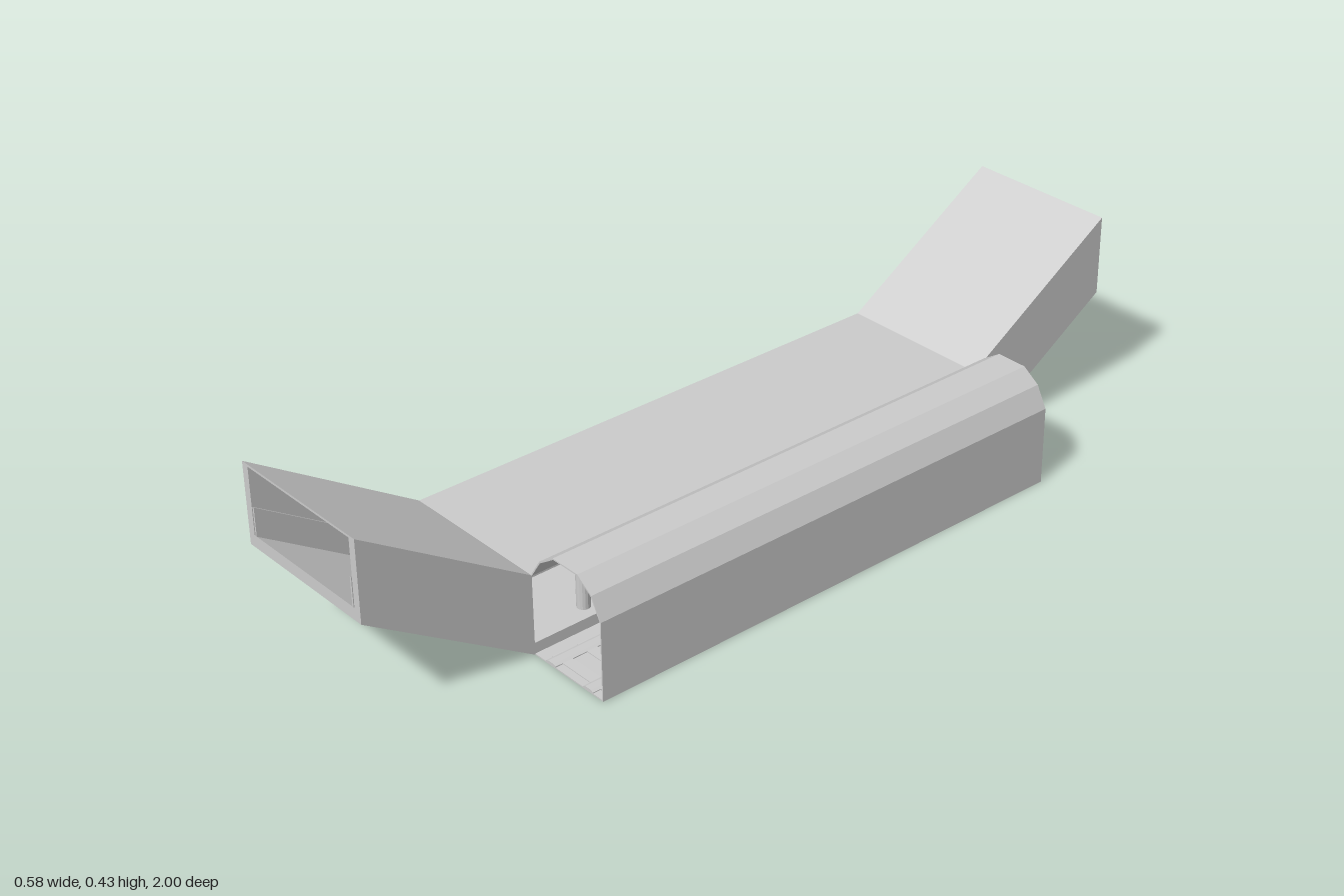
import * as THREE from 'three';

const HALF = 0.61, END = 1, RISE = 0.247;   // hall half length, ramp end, ramp climb
const X0 = -0.29, X1 = 0.078, WALL = 0.018; // hall width and wall thickness
const FLOOR = 0.028, CEIL = 0.18, ROOF = 0.185;

export function createModel() {
  const group = new THREE.Group();
  const material = new THREE.MeshStandardMaterial({ color: 0xcccccc, flatShading: true, side: THREE.DoubleSide });

  const add = (name, geometry) => {
    const mesh = new THREE.Mesh(geometry, material);
    mesh.name = name;
    group.add(mesh);
    return mesh;
  };
  const shapeOf = (pts) => new THREE.Shape(pts.map(([a, b]) => new THREE.Vector2(a, b)));

  // Side outline in (z, y), extruded across x
  const acrossX = (name, pts, xMin, xMax) => {
    const g = new THREE.ExtrudeGeometry(shapeOf(pts), { depth: xMax - xMin, bevelEnabled: false });
    g.rotateY(-Math.PI / 2).translate(xMax, 0, 0);
    return add(name, g);
  };
  // Front outline in (x, y), extruded along the hall
  const alongZ = (name, pts) => {
    const g = new THREE.ExtrudeGeometry(shapeOf(pts), { depth: 2 * HALF, bevelEnabled: false });
    g.translate(0, 0, -HALF);
    return add(name, g);
  };

  // Bands following the flat hall and both rising ramps
  const fullBand = (low, high) => [
    [-END, RISE + low], [-HALF, low], [HALF, low], [END, RISE + low],
    [END, RISE + high], [HALF, high], [-HALF, high], [-END, RISE + high],
  ];
  const rampBand = (s, low, high) => [
    [s * HALF, low], [s * END, RISE + low], [s * END, RISE + high], [s * HALF, high],
  ];

  // Hall and ramp shell; the hall is open towards the tunnel
  acrossX('floor', fullBand(0, FLOOR), X0, X1);
  acrossX('roof', fullBand(CEIL, ROOF), X0, X1);
  acrossX('outerWall', fullBand(FLOOR, CEIL), X0, X0 + WALL);
  for (const s of [-1, 1]) {
    acrossX('rampInnerWall', rampBand(s, FLOOR, CEIL), X1 - WALL, X1);
    // Thin balustrades beside both ramp walls
    for (const x of [X0 + WALL + 0.003, X1 - WALL - 0.007])
      acrossX('balustrade', rampBand(s, FLOOR, FLOOR + 0.065), x, x + 0.004);
  }

  // Row of columns along the platform edge
  for (let i = -3; i <= 3; i++) {
    const column = add('column', new THREE.CylinderGeometry(0.015, 0.015, CEIL - FLOOR, 16));
    column.position.set(0.04, (CEIL + FLOOR) / 2, i * 0.1525);
  }

  // Faceted tunnel vault: outer outline, then back along the inner one
  alongZ('tunnelVault', [
    [0.288, 0], [0.288, 0.181], [0.262, 0.229], [0.221, 0.257], [0.147, 0.257], [0.104, 0.229], [0.078, 0.189],
    [0.078, 0.184], [0.106, 0.226], [0.148, 0.254], [0.22, 0.254], [0.26, 0.226], [0.285, 0.18], [0.285, 0],
  ]);
  alongZ('trackBed', [[X1, 0], [0.285, 0], [0.285, 0.003], [X1, 0.003]]);

  // Rails and sleepers
  for (const x of [0.127, 0.242])
    alongZ('rail', [[x - 0.015, 0.003], [x + 0.015, 0.003], [x + 0.015, 0.005], [x + 0.008, 0.008], [x - 0.008, 0.008], [x - 0.015, 0.005]]);
  for (let i = 0; i < 20; i++) {
    const sleeper = add('sleeper', new THREE.BoxGeometry(0.15, 0.002, 0.025));
    sleeper.position.set(0.1845, 0.004, (i - 9.5) * 0.061);
  }
  return group;
}
